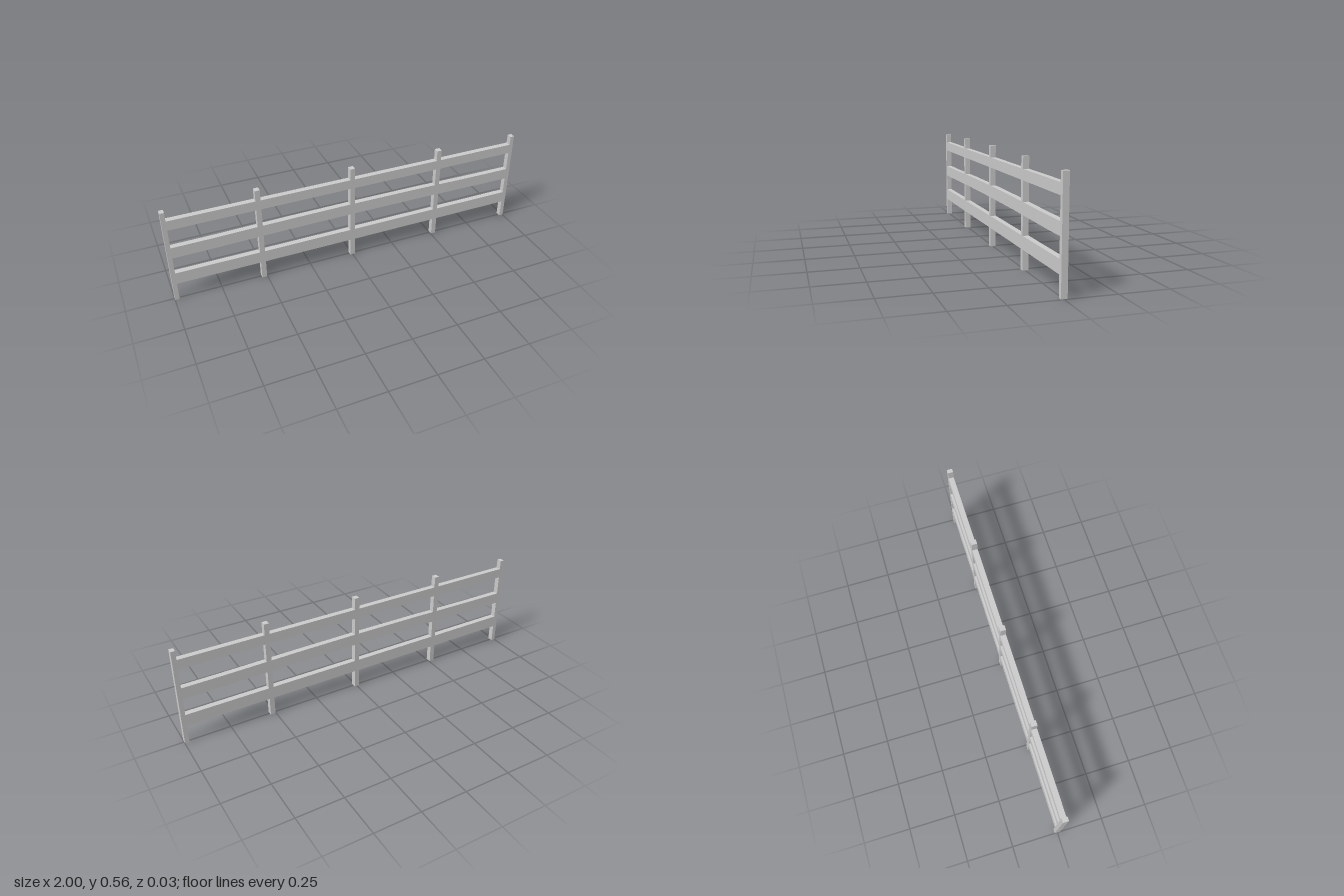
import * as THREE from 'three';

const DEPTH = 0.03;
const material = new THREE.MeshStandardMaterial({ color: 0xcccccc, flatShading: true });

// Posts from right to left: [inner and outer x edges, bottom, top]
const posts = [
  [-1, -0.977, 0.002, 0.54],
  [-0.53, -0.503, 0, 0.55],
  [-0.0135, 0.0135, 0, 0.555],
  [0.503, 0.53, 0, 0.55],
  [0.977, 1, 0.002, 0.54],
];

// Rail edges as [distance from centre, height]; the middle rail bows up slightly
const rails = [
  { name: 'lowerRail', top: [[0, 0.17], [1, 0.17]], bottom: [[0, 0.103], [1, 0.103]] },
  {
    name: 'middleRail',
    top: [[0, 0.338], [0.36, 0.336], [0.76, 0.33], [1, 0.329]],
    bottom: [[0, 0.274], [0.43, 0.272], [0.84, 0.266], [1, 0.266]],
  },
  { name: 'upperRail', top: [[0, 0.49], [1, 0.49]], bottom: [[0, 0.436], [1, 0.436]] },
];

// Height of a rail edge at x
function heightAt(edge, x) {
  const d = Math.abs(x);
  const i = Math.max(1, edge.findIndex((p) => p[0] >= d));
  const [a, b] = [edge[i - 1], edge[i]];
  return THREE.MathUtils.mapLinear(d, a[0], b[0], a[1], b[1]);
}

// Points of a rail edge between two posts, including its bends
function edgePoints(edge, x0, x1) {
  const bends = edge.flatMap((p) => [-p[0], p[0]]).filter((x) => x > x0 && x < x1);
  return [x0, ...bends, x1].sort((a, b) => a - b)
    .map((x) => new THREE.Vector2(x, heightAt(edge, x)));
}

function createModel() {
  const fence = new THREE.Group();
  fence.name = 'fence';

  // Upright posts
  posts.forEach(([x0, x1, y0, y1], i) => {
    const post = new THREE.Mesh(new THREE.BoxGeometry(x1 - x0, y1 - y0, DEPTH), material);
    post.position.set((x0 + x1) / 2, (y0 + y1) / 2, 0);
    post.name = `post${i + 1}`;
    fence.add(post);
  });

  // Rails, flush with the posts, one board per bay
  for (const { name, top, bottom } of rails) {
    const rail = new THREE.Group();
    rail.name = name;
    for (let i = 0; i < posts.length - 1; i++) {
      const x0 = posts[i][1];
      const x1 = posts[i + 1][0];
      const outline = [...edgePoints(bottom, x0, x1), ...edgePoints(top, x0, x1).reverse()];
      const geometry = new THREE.ExtrudeGeometry(new THREE.Shape(outline), { depth: DEPTH, bevelEnabled: false });
      geometry.translate(0, 0, -DEPTH / 2);
      const board = new THREE.Mesh(geometry, material);
      board.name = `${name}Board${i + 1}`;
      rail.add(board);
    }
    fence.add(rail);
  }
  return fence;
}

export { createModel };
